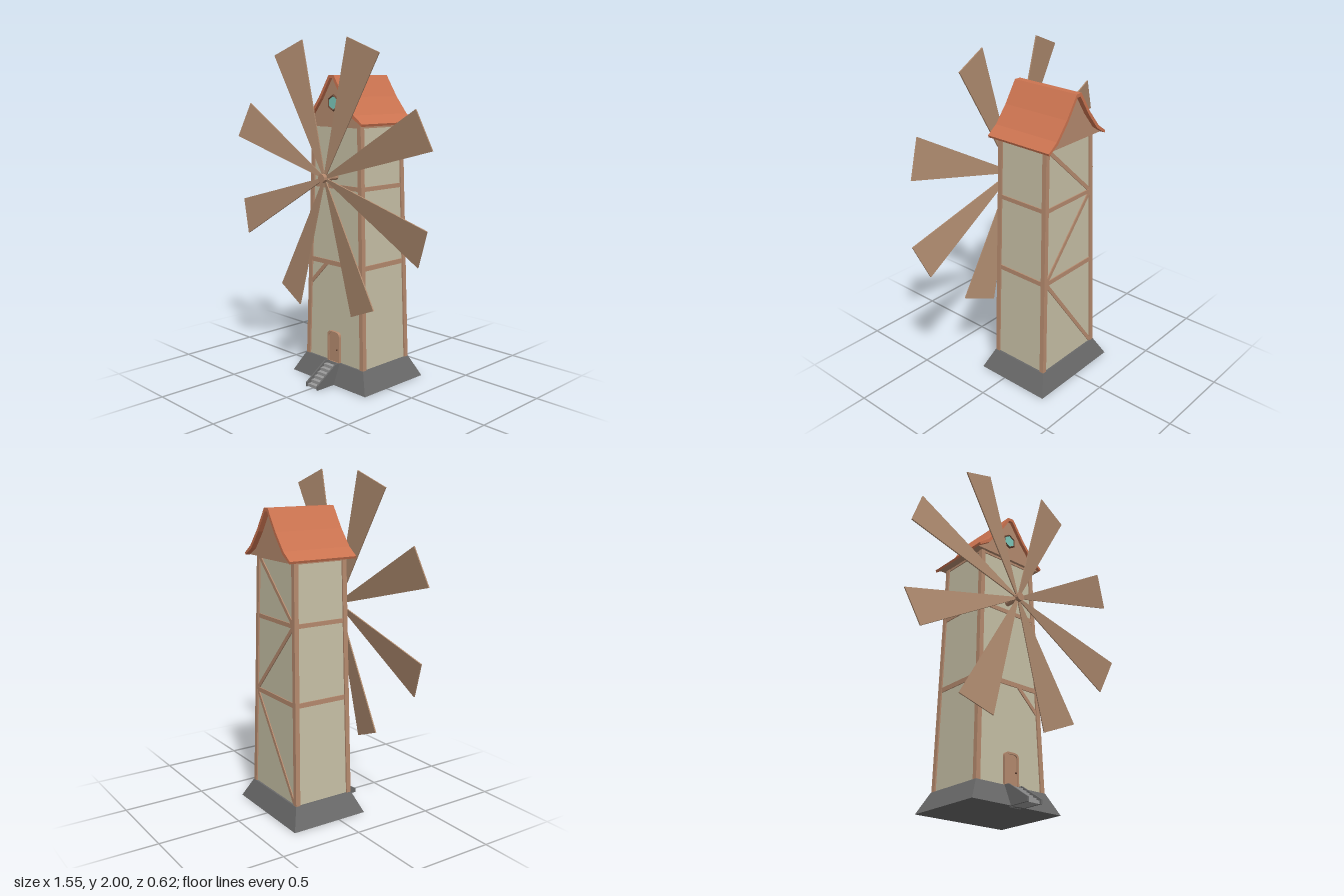
import * as THREE from 'three';

const mat = (color, extra = {}) =>
  new THREE.MeshStandardMaterial({ color, flatShading: true, ...extra });
const WOOD = mat(0xb58a6e), SAIL = mat(0xb08c70), WALL = mat(0xc6bfa5), ROOF = mat(0xcb7350);
const STONE = mat(0x696969), STEP = mat(0x9a9a9a), GLASS = mat(0x7cc8ba), DARK = mat(0x6b4a38);

const ZC = -0.0625, Y0 = 0.12, Y1 = 1.53;
const V = (x, y, z) => new THREE.Vector3(x, y, z);

// half width and half depth of the tapering tower at height y
const lean = (a, b) => (y) => a + (b - a) * ((y - Y0) / (Y1 - Y0));
const hx = lean(0.243, 0.2), hz = lean(0.193, 0.174);

function add(parent, name, geometry, material, x = 0, y = 0, z = 0) {
  const mesh = new THREE.Mesh(geometry, material);
  mesh.name = name;
  mesh.position.set(x, y, z);
  parent.add(mesh);
  return mesh;
}

// box whose top rectangle differs from its bottom one
function frustum(bx, bz, tx, tz, y0, y1) {
  const g = new THREE.BoxGeometry(2, 1, 2);
  const p = g.attributes.position;
  for (let i = 0; i < p.count; i++) {
    const top = p.getY(i) > 0;
    p.setXYZ(i, p.getX(i) * (top ? tx : bx), top ? y1 : y0, p.getZ(i) * (top ? tz : bz));
  }
  g.computeVertexNormals();
  return g;
}

// timber running from a to b, its face turned towards out
function beam(parent, name, a, b, w, d, out) {
  const mesh = add(parent, name, new THREE.BoxGeometry(w, a.distanceTo(b), d), WOOD);
  const dir = b.clone().sub(a).normalize();
  const side = dir.clone().cross(out).normalize();
  const face = side.clone().cross(dir);
  mesh.quaternion.setFromRotationMatrix(new THREE.Matrix4().makeBasis(side, dir, face));
  mesh.position.copy(a).add(b).multiplyScalar(0.5);
}

const shape = (pts) => new THREE.Shape(pts.map(([x, y]) => new THREE.Vector2(x, y)));
const mirrored = (pts) => [...pts, ...pts.map(([x, y]) => [-x, y]).reverse()];
const extrude = (s, depth) =>
  new THREE.ExtrudeGeometry(s, { depth, bevelEnabled: false, curveSegments: 6 });

// door outline with rounded upper corners
function doorShape(w, h, r) {
  const s = new THREE.Shape();
  s.moveTo(-w, 0);
  s.lineTo(w, 0);
  s.lineTo(w, h - r);
  s.quadraticCurveTo(w, h, w - r, h);
  s.lineTo(r - w, h);
  s.quadraticCurveTo(-w, h, -w, h - r);
  return s;
}

function buildTower(root) {
  const tower = new THREE.Group();
  tower.name = 'tower';
  root.add(tower);
  const inset = 0.009;
  add(tower, 'walls', frustum(hx(Y0) - inset, hz(Y0) - inset, hx(Y1) - inset, hz(Y1) - inset, Y0, Y1), WALL, 0, 0, ZC);

  // corner posts
  const c = 0.014;
  for (const sx of [-1, 1]) for (const sz of [-1, 1]) {
    const at = (y) => V(sx * (hx(y) - c), y, ZC + sz * (hz(y) - c));
    beam(tower, 'cornerPost', at(Y0), at(Y1), 0.028, 0.028, V(0, 0, sz));
  }

  // horizontal belts on all four sides
  for (const [y, h] of [[0.715, 0.028], [1.168, 0.025], [1.52, 0.022]]) {
    const x = hx(y) - 0.012, z = hz(y) - 0.012;
    for (const s of [-1, 1]) {
      beam(tower, 'belt', V(-x, y, ZC + s * z), V(x, y, ZC + s * z), h, 0.018, V(0, 0, s));
      beam(tower, 'belt', V(s * x, y, ZC - z), V(s * x, y, ZC + z), h, 0.018, V(s, 0, 0));
    }
  }

  // zigzag braces at the back
  const back = (s, y) => V(s * (hx(y) - 0.03), y, ZC - hz(y) + 0.011);
  for (const [s, ya, yb] of [[1, 0.7, 0.13], [-1, 1.155, 0.73], [1, 1.51, 1.18]])
    beam(tower, 'backBrace', back(s, ya), back(-s, yb), 0.022, 0.016, V(0, 0, -1));

  // short braces below the front belt
  for (const s of [-1, 1])
    beam(tower, 'frontBrace', V(s * 0.075, 0.705, ZC + hz(0.7) - 0.011),
      V(s * 0.205, 0.575, ZC + hz(0.575) - 0.011), 0.022, 0.016, V(0, 0, 1));
}

function buildRoof(root) {
  const roof = new THREE.Group();
  roof.name = 'roof';
  root.add(roof);
  // flared shell, open underneath
  const outer = [[0.245, 1.535], [0.18, 1.582], [0.1, 1.68], [0.02, 1.803]];
  const inner = [[0.24, 1.522], [0.17, 1.566], [0.088, 1.667], [0.012, 1.784]];
  const shell = shape([...mirrored(outer), ...mirrored(inner).reverse()]);
  add(roof, 'roofShell', extrude(shell, 0.437), ROOF, 0, 0, -0.29);
  add(roof, 'gable', extrude(shape(mirrored(inner)), 0.384), WOOD, 0, 0, -0.258);

  // six-sided window
  const ring = new THREE.TorusGeometry(0.042, 0.008, 4, 6);
  add(roof, 'windowFrame', ring, DARK, 0, 1.647, 0.128).rotation.z = Math.PI / 6;
  const pane = new THREE.CylinderGeometry(0.04, 0.04, 0.01, 6);
  add(roof, 'windowPane', pane, GLASS, 0, 1.647, 0.126).rotation.x = Math.PI / 2;
}

function buildEntrance(root) {
  const entrance = new THREE.Group();
  entrance.name = 'entrance';
  root.add(entrance);
  const frame = doorShape(0.05, 0.185, 0.03);
  frame.holes.push(doorShape(0.039, 0.174, 0.024));
  add(entrance, 'doorFrame', extrude(frame, 0.025), WOOD, 0, Y0, 0.112);
  add(entrance, 'door', extrude(doorShape(0.04, 0.175, 0.024), 0.018), WOOD, 0, Y0, 0.112);
  add(entrance, 'doorKnob', new THREE.SphereGeometry(0.006, 8, 6), DARK, 0.03, 0.197, 0.134);

  // steps between two sloping side walls
  const n = 6;
  for (let i = 0; i < n; i++) {
    const h = 0.108 * (1 - i / n), z0 = 0.15 + i * 0.025;
    add(entrance, 'step', new THREE.BoxGeometry(0.084, h, 0.026), STEP, 0, h / 2, z0 + 0.013);
  }
  const side = shape([[0.12, 0], [0.31, 0], [0.31, 0.025], [0.165, 0.121], [0.12, 0.121]]);
  for (const s of [-1, 1]) {
    const wall = add(entrance, 'stairSide', extrude(side, 0.01), STONE, s * 0.046 + 0.005, 0, 0);
    wall.rotation.y = -Math.PI / 2;
  }
}

function buildRotor(root) {
  const rotor = new THREE.Group();
  rotor.name = 'rotor';
  rotor.position.set(0, 1.225, 0.2);
  root.add(rotor);
  const cyl = (name, r, len, z) => {
    add(rotor, name, new THREE.CylinderGeometry(r, r, len, 10), WOOD, 0, 0, z).rotation.x = Math.PI / 2;
  };
  cyl('axle', 0.017, 0.14, -0.06);
  cyl('hubCap', 0.026, 0.045, 0.004);

  // eight slightly pitched sails widening outwards
  const sail = shape([[-0.006, 0.008], [0.006, 0.008], [0.1135, 0.794], [-0.1135, 0.794]]);
  const geometry = extrude(sail, 0.007);
  geometry.translate(0, 0, -0.0035);
  geometry.rotateY(0.15);
  for (let i = 0; i < 8; i++)
    add(rotor, 'sail', geometry, SAIL).rotation.z = ((i + 0.5) * Math.PI) / 4;
}

export function createModel() {
  const root = new THREE.Group();
  root.name = 'windmill';
  add(root, 'stoneBase', frustum(0.31, 0.245, 0.245, 0.195, 0, Y0), STONE, 0, 0, ZC);
  buildTower(root);
  buildRoof(root);
  buildEntrance(root);
  buildRotor(root);
  return root;
}
